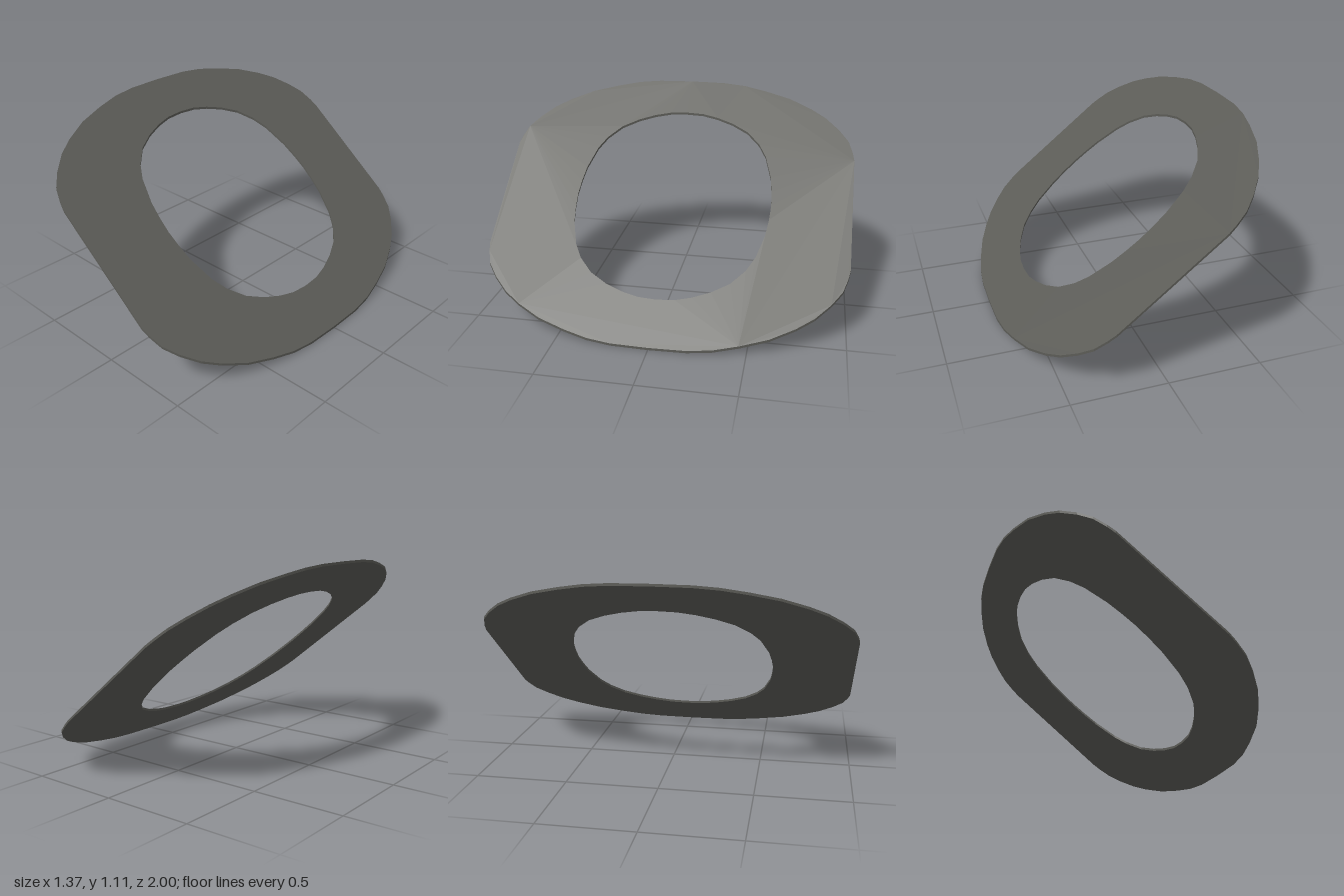
import * as THREE from 'three';

// Mirror a quarter outline (from the +y end to the +x side) into a closed loop
function mirrorLoop(quarter, cx = 0) {
  const half = [...quarter, ...quarter.slice(0, -1).reverse().map(([x, y]) => [x, -y])];
  const other = half.map(([x, y]) => [-x, y]).reverse();
  return [...half, ...other]
    .map(([x, y]) => new THREE.Vector2(x + cx, y))
    .filter((p, i, a) => i === 0 || p.distanceTo(a[i - 1]) > 1e-4);
}

export function createModel() {
  const group = new THREE.Group();
  group.name = 'tiltedRing';
  const darkGrey = new THREE.MeshStandardMaterial({ color: 0x5c5c57 });
  darkGrey.name = 'darkGrey';

  // Rounded outline with straight ends
  const shape = new THREE.Shape(mirrorLoop([
    [0.27, 1], [0.31, 0.99], [0.37, 0.965], [0.43, 0.91], [0.495, 0.83], [0.545, 0.74],
    [0.6, 0.61], [0.64, 0.46], [0.667, 0.33], [0.68, 0.2], [0.683, 0],
  ]));

  // Oval opening, a touch off centre
  shape.holes.push(new THREE.Path(mirrorLoop([
    [0, 0.557], [0.07, 0.552], [0.145, 0.54], [0.255, 0.5], [0.32, 0.455], [0.385, 0.38],
    [0.43, 0.285], [0.46, 0.19], [0.478, 0.1], [0.483, 0],
  ], -0.01).reverse()));

  // Thin plate laid flat, then sloped down towards +x
  const thickness = 0.013;
  const geometry = new THREE.ExtrudeGeometry(shape, { depth: thickness, bevelEnabled: false });
  geometry.rotateX(-Math.PI / 2);
  geometry.applyMatrix4(new THREE.Matrix4().set(
    1, 0, 0, 0,
    -0.8, 1, 0, 0.547,
    0, 0, 1, 0,
    0, 0, 0, 1,
  ));

  const plate = new THREE.Mesh(geometry, darkGrey);
  plate.name = 'ringPlate';
  group.add(plate);
  return group;
}
